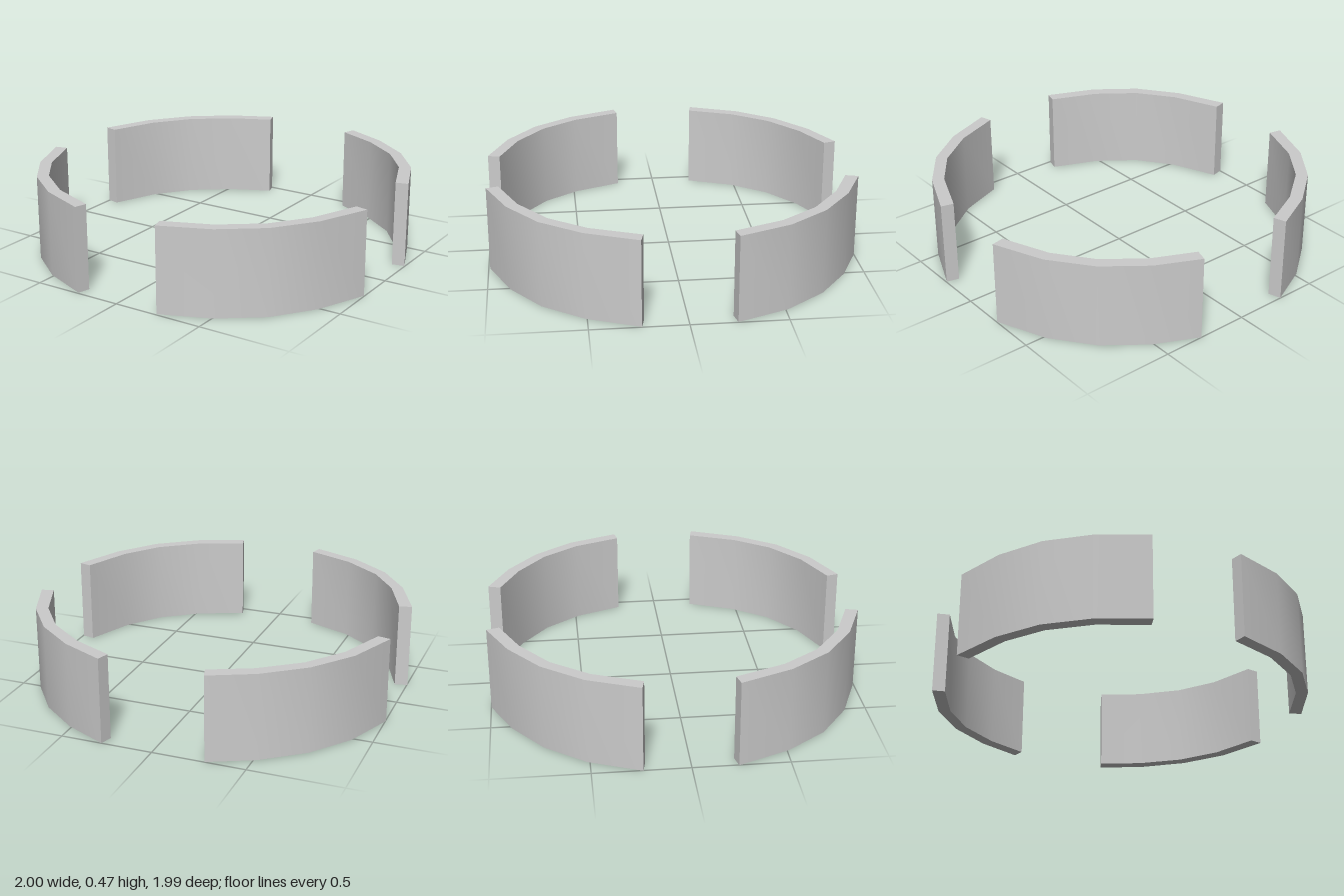
import * as THREE from 'three';
import { toCreasedNormals } from 'three/addons/utils/BufferGeometryUtils.js';

const HEIGHT = 0.465;
const CENTRE_X = -0.003;

// Plan outlines of one quarter wall, as [distance sideways, distance from the middle]
const FRONT = {
  outer: [[1, 0.237], [0.884, 0.51], [0.726, 0.724], [0.51, 0.884], [0.245, 0.992]],
  inner: [[0.932, 0.221], [0.825, 0.482], [0.684, 0.674], [0.479, 0.826], [0.227, 0.927]],
};
const BACK = {
  outer: [[1, 0.242], [0.889, 0.514], [0.726, 0.726], [0.515, 0.888], [0.28, 0.999]],
  inner: [[0.932, 0.228], [0.83, 0.482], [0.682, 0.678], [0.48, 0.83], [0.259, 0.932]],
};

// Extrudes a mirrored outline upward; faceted plan, smooth shading along the curve
function wallGeometry({ outer, inner }, sx, sz) {
  const outline = [...outer, ...[...inner].reverse()];
  const shape = new THREE.Shape(outline.map(([x, z]) => new THREE.Vector2(CENTRE_X + sx * x, -sz * z)));
  const geometry = new THREE.ExtrudeGeometry(shape, { depth: HEIGHT, bevelEnabled: false });
  geometry.rotateX(-Math.PI / 2);
  return toCreasedNormals(geometry, THREE.MathUtils.degToRad(40));
}

export function createModel() {
  const group = new THREE.Group();
  group.name = 'segmentedRing';
  const material = new THREE.MeshStandardMaterial({ color: 0xcccccc });

  // Four curved walls, one per quadrant, with gaps between them
  for (const [depthName, plan, sz] of [['front', FRONT, 1], ['back', BACK, -1]]) {
    for (const [sideName, sx] of [['Left', 1], ['Right', -1]]) {
      const wall = new THREE.Mesh(wallGeometry(plan, sx, sz), material);
      wall.name = `${depthName}${sideName}CurvedWall`;
      group.add(wall);
    }
  }
  return group;
}
